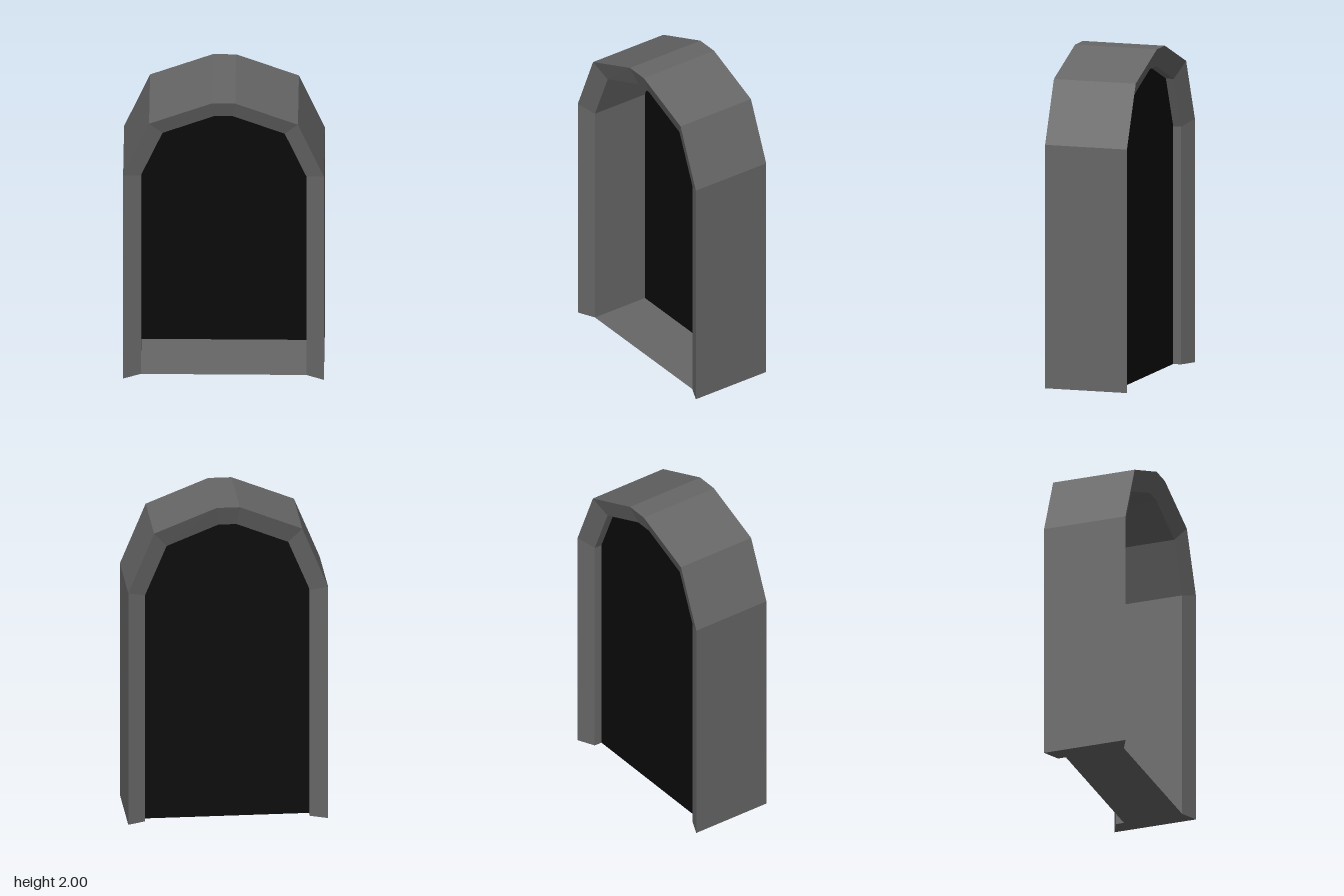
import * as THREE from 'three';

// Right half of the arch, bottom to crown: [outer x, outer y, inner x, inner y]
const half = [
  [0.6, 0, 0.495, 0],
  [0.6, 1.475, 0.495, 1.44],
  [0.445, 1.85, 0.365, 1.75],
  [0.07, 2, 0.055, 1.875],
];
const mirrored = half.map(([ox, oy, ix, iy]) => [-ox, oy, -ix, iy]).reverse();
const stations = [...half, ...mirrored];

const OUTER_Z = 0.26;  // outer rim
const INNER_Z = 0.21;  // inner rim, set back so the faces slope inwards
const PANEL_Z = -0.16;

// Sweeps a four-cornered section along the arch, with capped feet
function frameGeometry() {
  const rings = stations.map(([ox, oy, ix, iy]) => [
    [ox, oy, OUTER_Z], [ix, iy, INNER_Z], [ix, iy, -INNER_Z], [ox, oy, -OUTER_Z],
  ]);
  const pos = [];
  const quad = (a, b, c, d) => pos.push(...a, ...b, ...c, ...a, ...c, ...d);
  for (let s = 0; s < rings.length - 1; s++) {
    for (let k = 0; k < 4; k++) {
      const n = (k + 1) % 4;
      quad(rings[s][k], rings[s + 1][k], rings[s + 1][n], rings[s][n]);
    }
  }
  quad(...rings[0]);
  quad(...[...rings[rings.length - 1]].reverse());
  const geo = new THREE.BufferGeometry();
  geo.setAttribute('position', new THREE.Float32BufferAttribute(pos, 3));
  geo.computeVertexNormals();
  return geo;
}

export function createModel() {
  const model = new THREE.Group();
  model.name = 'archedDoorway';
  const stone = new THREE.MeshStandardMaterial({ color: 0x666666, flatShading: true, side: THREE.DoubleSide });
  const dark = new THREE.MeshStandardMaterial({ color: 0x0a0a0a, side: THREE.DoubleSide });

  const add = (name, geo, mat) => {
    const mesh = new THREE.Mesh(geo, mat);
    mesh.name = name;
    model.add(mesh);
    return mesh;
  };

  // Arched surround
  add('archFrame', frameGeometry(), stone);

  // Thin threshold between the front rim and the panel
  const depth = INNER_Z - PANEL_Z;
  const floor = add('threshold', new THREE.PlaneGeometry(0.99, depth).rotateX(-Math.PI / 2), stone);
  floor.position.z = PANEL_Z + depth / 2;

  // Dark panel filling the opening
  const opening = new THREE.Shape(stations.map(([, , ix, iy]) => new THREE.Vector2(ix, iy)));
  add('darkPanel', new THREE.ShapeGeometry(opening), dark).position.z = PANEL_Z;

  return model;
}
